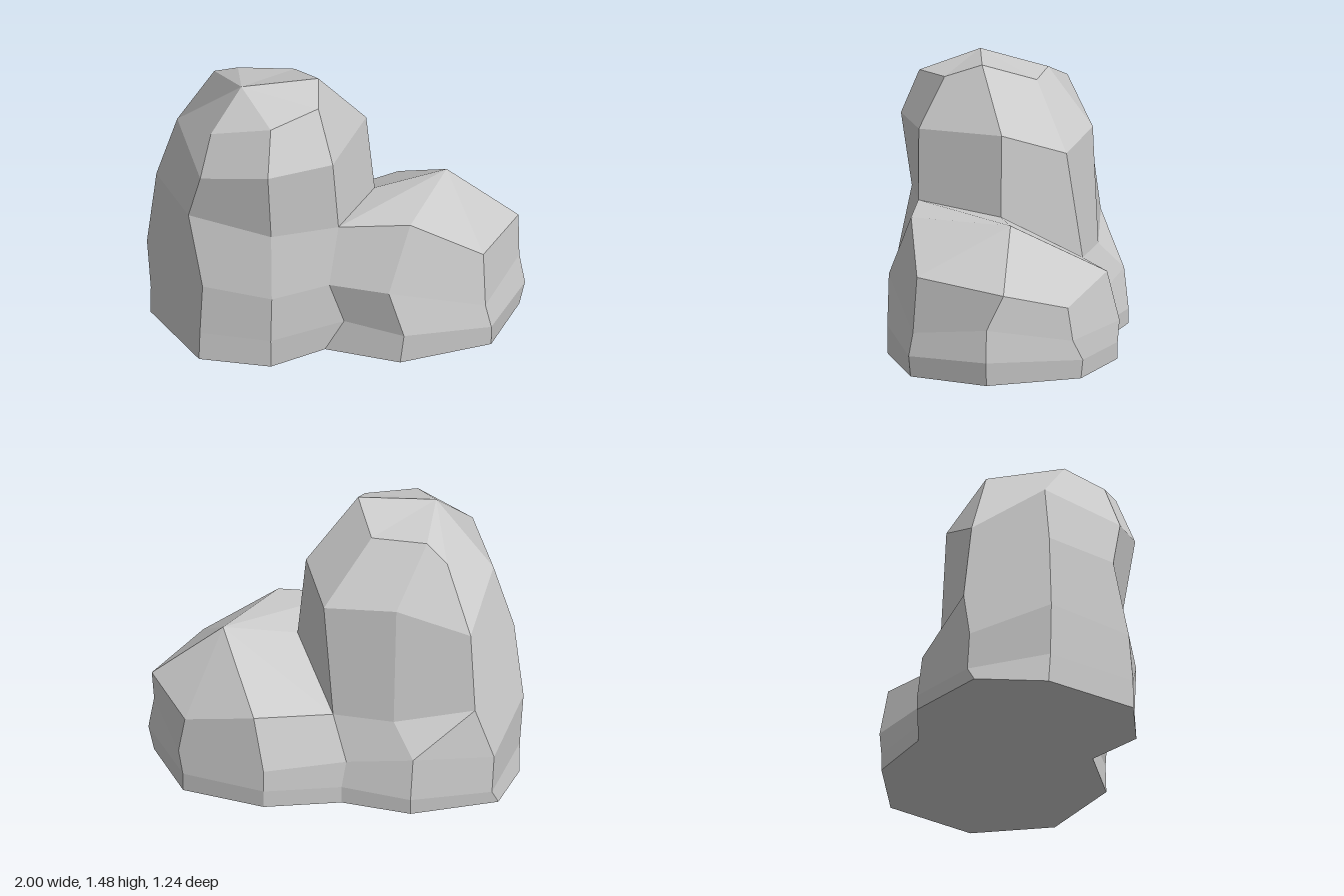
import * as THREE from 'three';

const vec = (p) => new THREE.Vector3(...p);
const faceNormal = (a, b, c) => new THREE.Triangle(vec(a), vec(b), vec(c)).getNormal(new THREE.Vector3());

// Loft eight-sided rings of [x, y, z] points, closing the ends with fans.
function loftRock(name, rings, apex, base) {
  const pos = [], norm = [];
  const tri = (a, b, c, n = faceNormal(a, b, c)) => {
    pos.push(...a, ...b, ...c);
    for (let i = 0; i < 3; i++) norm.push(n.x, n.y, n.z);
  };
  // Split a quad on its shorter diagonal; nearly flat quads share one normal
  const quad = (a, b, c, d) => {
    if (vec(a).distanceTo(vec(c)) > vec(b).distanceTo(vec(d))) [a, b, c, d] = [b, c, d, a];
    const n1 = faceNormal(a, b, c), n2 = faceNormal(a, c, d);
    const shared = n1.dot(n2) > 0.85 ? n1.clone().add(n2).normalize() : undefined;
    tri(a, b, c, shared);
    tri(a, c, d, shared);
  };
  const top = rings[rings.length - 1];
  for (let i = 0; i < top.length; i++) {
    const j = (i + 1) % top.length;
    for (let k = 0; k < rings.length - 1; k++) {
      quad(rings[k][i], rings[k + 1][i], rings[k + 1][j], rings[k][j]);
    }
    // skip the two empty slivers when the apex is itself a ring corner
    if (top[i] !== apex && top[j] !== apex) tri(apex, top[j], top[i]);
    tri(base, rings[0][i], rings[0][j]);
  }
  const geo = new THREE.BufferGeometry();
  geo.setAttribute('position', new THREE.Float32BufferAttribute(pos, 3));
  geo.setAttribute('normal', new THREE.Float32BufferAttribute(norm, 3));
  const mesh = new THREE.Mesh(geo, new THREE.MeshStandardMaterial({ color: 0xcccccc }));
  mesh.name = name;
  return mesh;
}

export function createModel() {
  const group = new THREE.Group();
  group.name = 'boulder';

  // Seam shared by the two lobes, from the ground up
  const front = [[-0.08, 0, 0.45], [0.02, 0.18, 0.47], [-0.06, 0.42, 0.5], [-0.01, 0.76, 0.48]];
  const back = [[-0.1, 0, -0.5], [-0.1, 0.09, -0.5], [-0.12, 0.22, -0.46], [-0.04, 0.46, -0.39]];
  const inner = [[-0.09, 0, 0], [-0.05, 0.15, 0], [0, 0.4, 0], [0.205, 0.73, 0.02]];

  // Tall lobe: each ring runs from +x round by the front, right side and back
  const crown = [-0.51, 1.47, 0.2];
  const tall = [
    [inner[0], front[0], [-0.375, 0, 0.62], [-0.75, 0, 0.52],
      [-0.98, 0, 0.01], [-0.92, 0, -0.38], [-0.48, 0, -0.59], back[0]],
    [inner[1], front[1], [-0.375, 0.15, 0.61], [-0.745, 0.16, 0.52],
      [-0.98, 0.16, 0.02], [-0.89, 0.07, -0.41], [-0.48, 0.08, -0.59], back[1]],
    [inner[2], front[2], [-0.37, 0.41, 0.62], [-0.73, 0.43, 0.5],
      [-1, 0.44, 0.02], [-0.9, 0.27, -0.4], [-0.49, 0.3, -0.565], back[2]],
    [inner[3], front[3], [-0.37, 0.75, 0.55], [-0.8, 0.81, 0.4],
      [-0.95, 0.85, 0.02], [-0.8, 0.54, -0.41], [-0.37, 0.46, -0.44], back[3]],
    [[0.16, 1.16, 0.02], [-0.04, 1.14, 0.48], [-0.39, 1.14, 0.61], [-0.74, 1.06, 0.45],
      [-0.84, 1.18, 0.02], [-0.77, 0.95, -0.36], [-0.38, 1.09, -0.41], [0.02, 1.04, -0.31]],
    [[-0.1, 1.48, 0.15], [-0.11, 1.41, 0.35], [-0.37, 1.38, 0.51], [-0.68, 1.29, 0.38],
      crown, [-0.63, 1.31, -0.25], [-0.51, 1.38, -0.16], [-0.21, 1.38, -0.13]],
  ];
  group.add(loftRock('tallLobe', tall, crown, [-0.5, 0, 0]));

  // Low lobe: +x, front, seam with the tall lobe, back
  const low = [
    [[0.97, 0, 0.02], [0.8, 0, 0.44], [0.31, 0, 0.61], front[0],
      inner[0], back[0], [0.3, 0, -0.61], [0.75, 0, -0.46]],
    [[1, 0.13, 0.02], [0.8, 0.11, 0.45], [0.33, 0.16, 0.61], front[1],
      inner[1], back[1], [0.3, 0.09, -0.61], [0.75, 0.1, -0.47]],
    [[0.97, 0.3, 0.02], [0.77, 0.23, 0.43], [0.25, 0.42, 0.61], front[2],
      inner[2], back[2], [0.3, 0.21, -0.62], [0.78, 0.21, -0.42]],
    [[0.97, 0.49, -0.07], [0.76, 0.53, 0.41], [0.37, 0.76, 0.48], front[3],
      inner[3], back[3], [0.36, 0.49, -0.56], [0.75, 0.38, -0.39]],
  ];
  group.add(loftRock('lowLobe', low, [0.59, 0.78, -0.07], [0.45, 0, 0]));

  return group;
}
